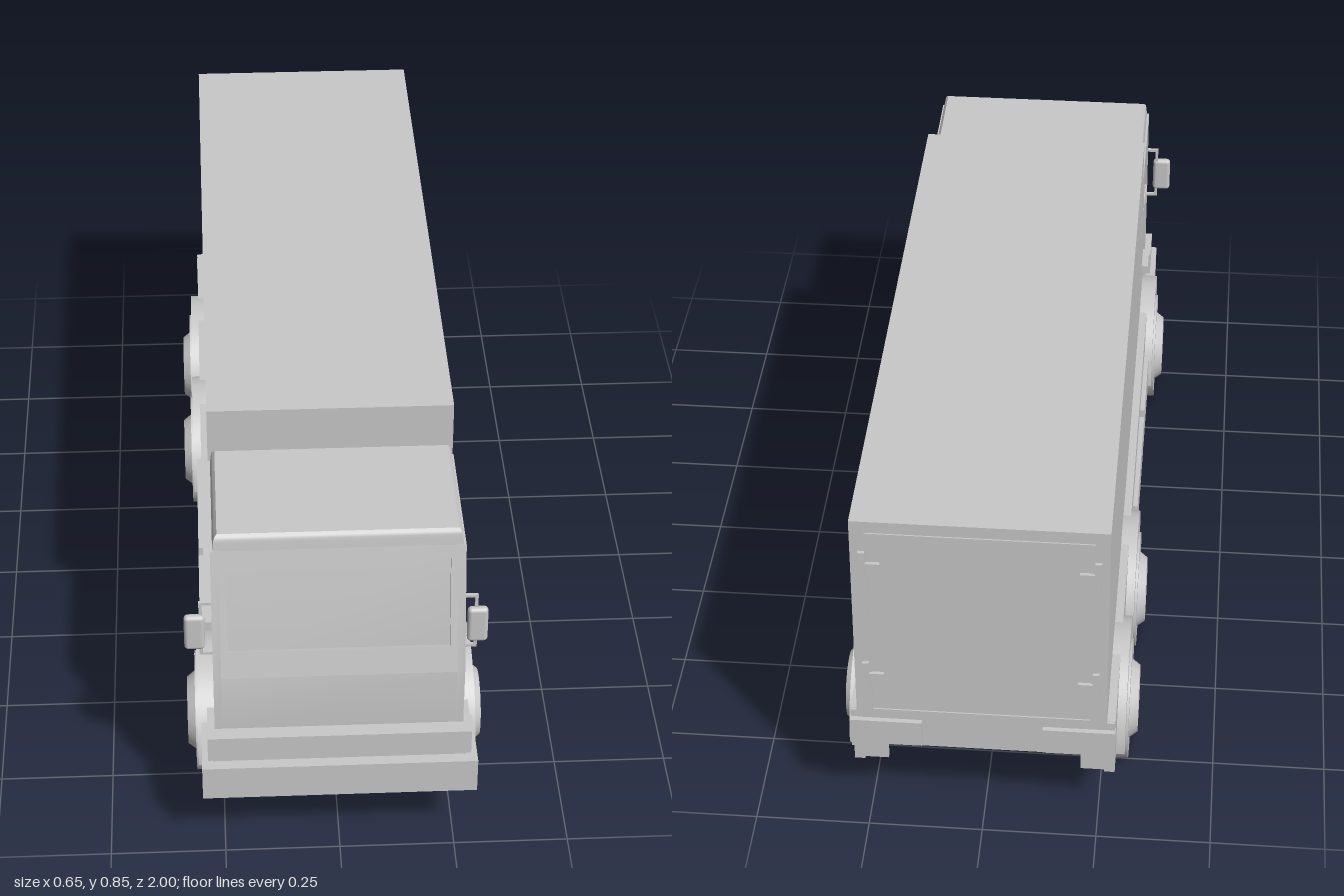
import * as THREE from 'three';
import { toCreasedNormals } from 'three/addons/utils/BufferGeometryUtils.js';
import { RoundedBoxGeometry } from 'three/addons/geometries/RoundedBoxGeometry.js';

export function createModel() {
  const truck = new THREE.Group();
  truck.name = 'truck';
  const grey = new THREE.MeshStandardMaterial({ color: 0xc8c8c8 });
  grey.name = 'plainGrey';

  const add = (name, geometry) => {
    const mesh = new THREE.Mesh(geometry, grey);
    mesh.name = name;
    truck.add(mesh);
    return mesh;
  };
  // Box given by its minimum and maximum on each axis
  const box = (name, x0, x1, y0, y1, z0, z1) =>
    add(name, new THREE.BoxGeometry(x1 - x0, y1 - y0, z1 - z0))
      .position.set((x0 + x1) / 2, (y0 + y1) / 2, (z0 + z1) / 2);
  // The same box on both sides
  const boxPair = (name, x0, x1, ...rest) => {
    box(name, x0, x1, ...rest);
    box(name, -x1, -x0, ...rest);
  };
  const outline = (points) => new THREE.Shape(points.map(([a, b]) => new THREE.Vector2(a, b)));
  // Side outline (z, y) extruded across the width from x0 to x1
  const slab = (name, shape, x0, x1) => {
    const g = new THREE.ExtrudeGeometry(shape, { depth: x1 - x0, bevelEnabled: false, curveSegments: 20 });
    g.rotateY(-Math.PI / 2).translate(x1, 0, 0);
    return add(name, toCreasedNormals(g, 0.5));
  };
  const slabPair = (name, shape, x0, x1) => {
    slab(name, shape, x0, x1);
    slab(name, shape, -x1, -x0);
  };

  const axles = [0.686, -0.314, -0.694];
  const axleY = 0.134;

  // Cargo box
  box('cargoBox', -0.267, 0.267, 0.31, 0.846, -0.992, 0.535);

  // Rear doors: thin frame lines, hinges and latches
  box('rearDoorTopEdge', -0.235, 0.235, 0.815, 0.818, -0.995, -0.99);
  box('rearDoorBottomEdge', -0.235, 0.235, 0.335, 0.338, -0.995, -0.99);
  boxPair('rearDoorSideEdge', 0.232, 0.236, 0.335, 0.818, -0.995, -0.99);
  for (const y of [0.43, 0.73]) {
    boxPair('rearDoorHinge', 0.205, 0.25, y, y + 0.012, -1.0, -0.99);
    boxPair('rearDoorHingePin', 0.236, 0.25, y - 0.03, y + 0.04, -1.0, -0.99);
  }

  // Cab shell, hollow and open underneath
  slab('cabShell', outline([
    [0.555, 0.29], [0.565, 0.29], [0.565, 0.72], [0.858, 0.72], [0.92, 0.44], [0.925, 0.29],
    [0.94, 0.29], [0.94, 0.44], [0.93, 0.44], [0.866, 0.73], [0.555, 0.73],
  ]), -0.25, 0.25);

  // Cab sides with a stepped window opening, and panes behind them
  const profile = [[0.555, 0.29], [0.94, 0.29], [0.94, 0.44], [0.876, 0.73], [0.555, 0.73]];
  const side = outline(profile);
  side.holes.push(outline([[0.872, 0.71], [0.655, 0.71], [0.655, 0.57], [0.785, 0.57], [0.81, 0.492], [0.912, 0.492]]));
  slabPair('cabSide', side, 0.25, 0.267);
  slabPair('sideWindow', outline([[0.64, 0.48], [0.918, 0.48], [0.866, 0.72], [0.64, 0.72]]), 0.242, 0.25);

  // Sloped windscreen frame
  const slope = Math.hypot(0.064, 0.29);
  const frame = outline([[-0.25, 0], [0.25, 0], [0.25, slope], [-0.25, slope]]);
  frame.holes.push(outline([[-0.235, 0.061], [-0.235, 0.268], [0.235, 0.268], [0.235, 0.061]]));
  const frameGeometry = new THREE.ExtrudeGeometry(frame, { depth: 0.012, bevelEnabled: false });
  frameGeometry.translate(0, 0, -0.012).rotateX(-Math.atan2(0.064, 0.29)).translate(0, 0.44, 0.94);
  add('windscreenFrame', frameGeometry);

  // Roof: tapered cap with rounded edges, in rising cross-sections
  const roof = new THREE.BoxGeometry(2, 0.036, 2, 1, 4, 1);
  const p = roof.attributes.position;
  const insets = [0.005, 0.007, 0.008, 0.01, 0.015];
  for (let i = 0; i < p.count; i++) {
    const t = p.getY(i) / 0.036 + 0.5;
    const inset = insets[Math.round(t * 4)];
    p.setXYZ(i, p.getX(i) * (0.267 - inset), 0.73 + 0.036 * Math.sqrt(t),
      p.getZ(i) > 0 ? 0.88 - inset * 1.2 : 0.555 + inset);
  }
  add('cabRoof', toCreasedNormals(roof, 0.6));

  boxPair('doorHandle', 0.265, 0.283, 0.393, 0.414, 0.64, 0.72);

  // Mirrors on bracket arms
  for (const [s, x] of [[-1, 0.304], [1, 0.294]]) {
    add('mirror', new RoundedBoxGeometry(0.044, 0.088, 0.02, 3, 0.009)).position.set(s * x, 0.537, 0.898);
  }
  for (const y of [0.473, 0.607]) boxPair('mirrorArm', 0.262, 0.294, y, y + 0.006, 0.89, 0.898);
  boxPair('mirrorPost', 0.287, 0.294, 0.473, 0.613, 0.89, 0.898);

  // Front bumper and step, open behind
  box('bumperFront', -0.296, 0.296, 0.155, 0.239, 0.975, 1.0);
  boxPair('bumperSide', 0.272, 0.296, 0.155, 0.239, 0.85, 0.976);
  box('bumperTop', -0.294, 0.294, 0.226, 0.237, 0.93, 0.976);
  box('bumperStep', -0.283, 0.283, 0.236, 0.3, 0.93, 0.973);
  boxPair('bumperStepSide', 0.25, 0.283, 0.236, 0.3, 0.87, 0.931);

  // Side rails with wheel cut-outs
  const rail = new THREE.Shape();
  rail.moveTo(0.58, 0.31);
  rail.lineTo(-0.965, 0.31);
  rail.lineTo(-0.965, 0.2);
  rail.lineTo(-0.935, 0.2);
  rail.lineTo(-0.935, axleY);
  for (const z of [axles[2], axles[1]]) rail.absarc(z, axleY, 0.136, Math.PI, 0, true);
  rail.lineTo(0.525, axleY);
  rail.absarc(axles[0], axleY, 0.15, Math.PI, Math.PI * 0.72, true);
  slabPair('sideRail', rail, 0.262, 0.285);

  // Side storage panels
  boxPair('sidePanel', 0.27, 0.296, 0.123, 0.236, 0.255, 0.496);
  boxPair('sidePanel', 0.27, 0.296, 0.123, 0.236, -0.131, 0.228);

  // Rear crossbeam with lamp blocks and hanging flaps
  box('rearBeam', -0.284, 0.284, 0.215, 0.309, -0.97, -0.94);
  boxPair('rearLamp', 0.13, 0.286, 0.225, 0.29, -0.982, -0.96);
  boxPair('rearFlap', 0.21, 0.284, 0.14, 0.216, -0.935, -0.925);

  // Fenders: plain half rings over the wheels
  axles.forEach((z, i) => {
    const arch = new THREE.Shape();
    arch.absarc(z, axleY, 0.184, 0, Math.PI, false);
    arch.absarc(z, axleY, i === 0 ? 0.146 : 0.136, Math.PI, 0, true);
    slabPair('fender', arch, 0.21, 0.304);
  });

  // Wheels: tyre, raised rim and dished hub in one turned profile
  const half = [[0, 0.047], [0.043, 0.047], [0.048, 0.063], [0.066, 0.066], [0.075, 0.069], [0.087, 0.053], [0.091, 0.047], [0.094, 0.051], [0.134, 0.051]];
  const turned = [
    ...half.map(([r, y]) => new THREE.Vector2(r, -y)),
    ...half.slice().reverse().map(([r, y]) => new THREE.Vector2(r, y)),
  ];
  const wheel = toCreasedNormals(new THREE.LatheGeometry(turned, 40).rotateZ(-Math.PI / 2), 0.5);
  for (const z of axles) {
    for (const s of [-1, 1]) add('wheel', wheel).position.set(s * 0.258, axleY, z);
  }

  return truck;
}
